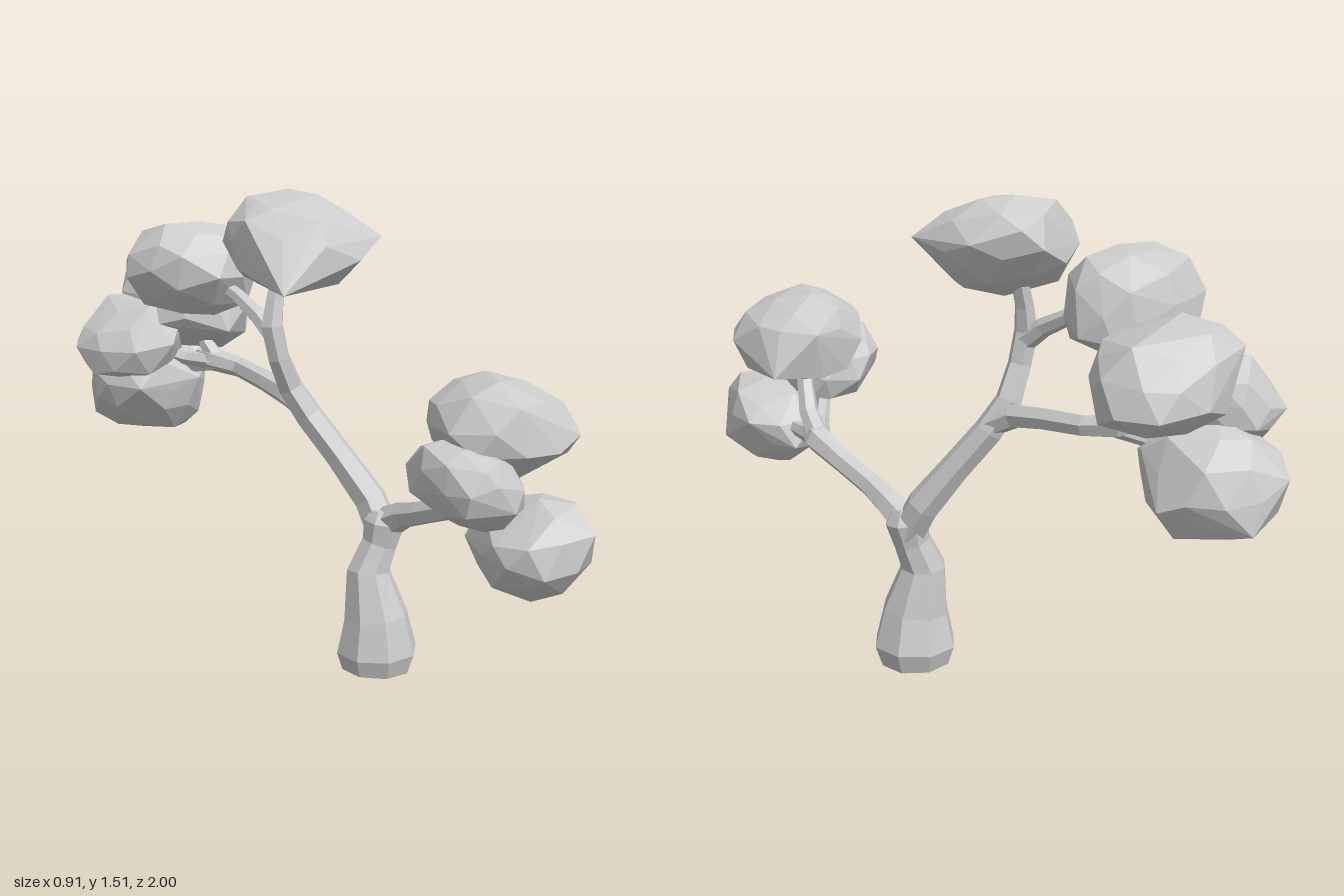
import * as THREE from 'three';
import { ConvexGeometry } from 'three/addons/geometries/ConvexGeometry.js';
import { mergeVertices } from 'three/addons/utils/BufferGeometryUtils.js';

const material = new THREE.MeshStandardMaterial({ color: 0xcccccc, flatShading: true });

function seeded(seed) {
  let s = seed * 7919 + 17;
  return () => (s = (s * 16807) % 2147483647) / 2147483647;
}

// Tapering faceted limb through points [x, y, z, radius]
function limb(name, points, sides = 6) {
  const centres = points.map(([x, y, z]) => new THREE.Vector3(x, y, z));
  const verts = [], index = [], n = points.length;
  const u = new THREE.Vector3(1, 0, 0.2), v = new THREE.Vector3();
  centres.forEach((c, i) => {
    const t = centres[Math.min(i + 1, n - 1)].clone().sub(centres[Math.max(i - 1, 0)]).normalize();
    u.addScaledVector(t, -u.dot(t)).normalize();
    v.crossVectors(t, u);
    for (let j = 0; j < sides; j++) {
      const a = (j / sides) * Math.PI * 2;
      const p = c.clone().addScaledVector(u, Math.cos(a) * points[i][3]).addScaledVector(v, Math.sin(a) * points[i][3]);
      verts.push(...p.toArray());
    }
  });
  verts.push(...centres[0].toArray(), ...centres[n - 1].toArray());
  for (let j = 0; j < sides; j++) {
    const k = (j + 1) % sides, top = (n - 1) * sides;
    for (let i = 0; i < n - 1; i++) {
      const a = i * sides + j, b = i * sides + k;
      index.push(a, b, b + sides, a, b + sides, a + sides);
    }
    index.push(n * sides, k, j, n * sides + 1, top + j, top + k);
  }
  const geo = new THREE.BufferGeometry();
  geo.setAttribute('position', new THREE.Float32BufferAttribute(verts, 3));
  geo.setIndex(index);
  geo.computeVertexNormals();
  const mesh = new THREE.Mesh(geo, material);
  mesh.name = name;
  return mesh;
}

// Convex faceted leaf clump filling the box min..max; lean = [xy, xz, yz] slant, tips = extra corners
function clump(name, min, max, lean, tips, seed) {
  let ball = new THREE.IcosahedronGeometry(1, 1);
  ball.deleteAttribute('normal');
  ball.deleteAttribute('uv');
  ball = mergeVertices(ball, 1e-3);
  const rnd = seeded(seed), pos = ball.attributes.position, points = [];
  const turn = new THREE.Euler(rnd() * 6, rnd() * 6, rnd() * 6);
  const [xy, xz, yz] = lean;
  const yy = Math.sqrt(1 - xy * xy), zy = (yz - xy * xz) / yy;
  const zz = Math.sqrt(1 - xz * xz - zy * zy);
  for (let i = 0; i < pos.count; i++) {
    const p = new THREE.Vector3().fromBufferAttribute(pos, i).applyEuler(turn);
    p.x += (rnd() - 0.5) * 0.22;
    p.y += (rnd() - 0.5) * 0.22;
    p.z += (rnd() - 0.5) * 0.22;
    points.push(p.set(p.x, xy * p.x + yy * p.y, xz * p.x + zy * p.y + zz * p.z));
  }
  // fit to the box
  const box = new THREE.Box3().setFromPoints(points);
  const size = box.getSize(new THREE.Vector3()), mid = box.getCenter(new THREE.Vector3());
  const goal = new THREE.Vector3(...max).sub(new THREE.Vector3(...min));
  const centre = new THREE.Vector3(...min).addScaledVector(goal, 0.5);
  points.forEach((p) => p.sub(mid).divide(size).multiply(goal));
  tips.forEach((t) => points.push(new THREE.Vector3(...t).sub(centre)));
  const mesh = new THREE.Mesh(new ConvexGeometry(points), material);
  mesh.position.copy(centre);
  mesh.name = name;
  return mesh;
}

export function createModel() {
  const tree = new THREE.Group();
  tree.name = 'tree';

  // Trunk, swollen at the foot and flared at the fork
  tree.add(limb('trunk', [
    [0.208, 0.004, 0.07, 0.04], [0.208, 0.025, 0.07, 0.11], [0.21, 0.085, 0.07, 0.13],
    [0.205, 0.2, 0.07, 0.103], [0.19, 0.345, 0.048, 0.07], [0.225, 0.43, 0.055, 0.058],
    [0.24, 0.5, 0.06, 0.068], [0.24, 0.54, 0.06, 0.045],
  ], 8));

  // Rear limb rising to the crown and its forks
  tree.add(limb('rearLimb', [
    [0.24, 0.46, 0.055, 0.055], [0.22, 0.56, 0.0, 0.053], [0.15, 0.69, -0.075, 0.046],
    [0.08, 0.81, -0.145, 0.045], [0.03, 0.9, -0.175, 0.041], [-0.015, 1.0, -0.165, 0.036],
    [-0.035, 1.1, -0.17, 0.037], [-0.02, 1.18, -0.18, 0.03], [0.01, 1.28, -0.19, 0.027],
  ]));
  tree.add(limb('crownFork', [
    [-0.03, 1.07, -0.175, 0.032], [-0.05, 1.12, -0.235, 0.029], [-0.075, 1.17, -0.33, 0.024], [-0.1, 1.2, -0.42, 0.02],
  ]));
  tree.add(limb('rearBough', [
    [0.08, 0.82, -0.14, 0.036], [0.045, 0.865, -0.22, 0.038], [0.025, 0.885, -0.35, 0.034],
    [0.005, 0.9, -0.5, 0.032], [-0.05, 0.915, -0.59, 0.038], [-0.08, 0.93, -0.64, 0.022],
  ]));
  const rearFork = [-0.04, 0.91, -0.57, 0.03];
  [[[-0.06, 0.96, -0.61, 0.026], [-0.07, 1.05, -0.68, 0.022]],
   [[-0.1, 0.885, -0.66, 0.025], [-0.16, 0.84, -0.75, 0.02]],
   [[-0.12, 0.915, -0.65, 0.024], [-0.2, 0.94, -0.71, 0.02]],
  ].forEach((tip, i) => tree.add(limb('rearTwig' + (i + 1), [rearFork, ...tip])));

  // Front limb and its twigs
  tree.add(limb('frontLimb', [
    [0.24, 0.485, 0.045, 0.055], [0.26, 0.54, 0.14, 0.043], [0.265, 0.57, 0.23, 0.038],
    [0.29, 0.615, 0.35, 0.037], [0.315, 0.665, 0.46, 0.044], [0.3, 0.68, 0.53, 0.028],
  ]));
  const frontFork = [0.31, 0.665, 0.46, 0.036];
  [[[0.3, 0.73, 0.54, 0.031], [0.28, 0.8, 0.59, 0.027], [0.26, 0.87, 0.63, 0.023]],
   [[0.3, 0.655, 0.58, 0.026], [0.29, 0.65, 0.7, 0.022]],
   [[0.24, 0.68, 0.57, 0.026], [0.16, 0.75, 0.68, 0.022]],
  ].forEach((tip, i) => tree.add(limb('frontTwig' + (i + 1), [frontFork, ...tip])));

  // Leaf clumps: name, box min, box max, lean, tips
  [
    ['crownClump', [-0.165, 1.21, -0.34], [0.22, 1.51, 0.05], [0, 0.2, -0.15],
      [[0.25, 1.38, 0.0], [-0.11, 1.235, 0.065]]],
    ['upperRearClump', [-0.37, 1.09, -0.66], [0.04, 1.39, -0.32], [-0.05, 0.2, 0.1], []],
    ['middleRearClump', [-0.29, 0.94, -0.92], [0.14, 1.25, -0.53], [-0.15, 0.03, 0], [[-0.03, 1.02, -0.505]]],
    ['lowerRearClump', [-0.38, 0.65, -1.0], [0.0, 0.97, -0.62], [-0.05, 0.12, 0.2], []],
    ['outerRearClump', [-0.46, 0.84, -0.89], [-0.09, 1.13, -0.58], [0.25, 0.2, 0], []],
    ['upperFrontClump', [0.035, 0.8, 0.45], [0.455, 1.095, 0.89], [-0.1, -0.08, 0], [[0.44, 0.87, 0.5]]],
    ['lowerFrontClump', [0.115, 0.5, 0.61], [0.43, 0.79, 1.0], [0, 0, 0.1], []],
    ['innerFrontClump', [-0.045, 0.68, 0.57], [0.25, 0.94, 0.92], [-0.3, -0.05, 0], []],
  ].forEach(([name, min, max, lean, tips], i) => tree.add(clump(name, min, max, lean, tips, i + 3)));

  return tree;
}
